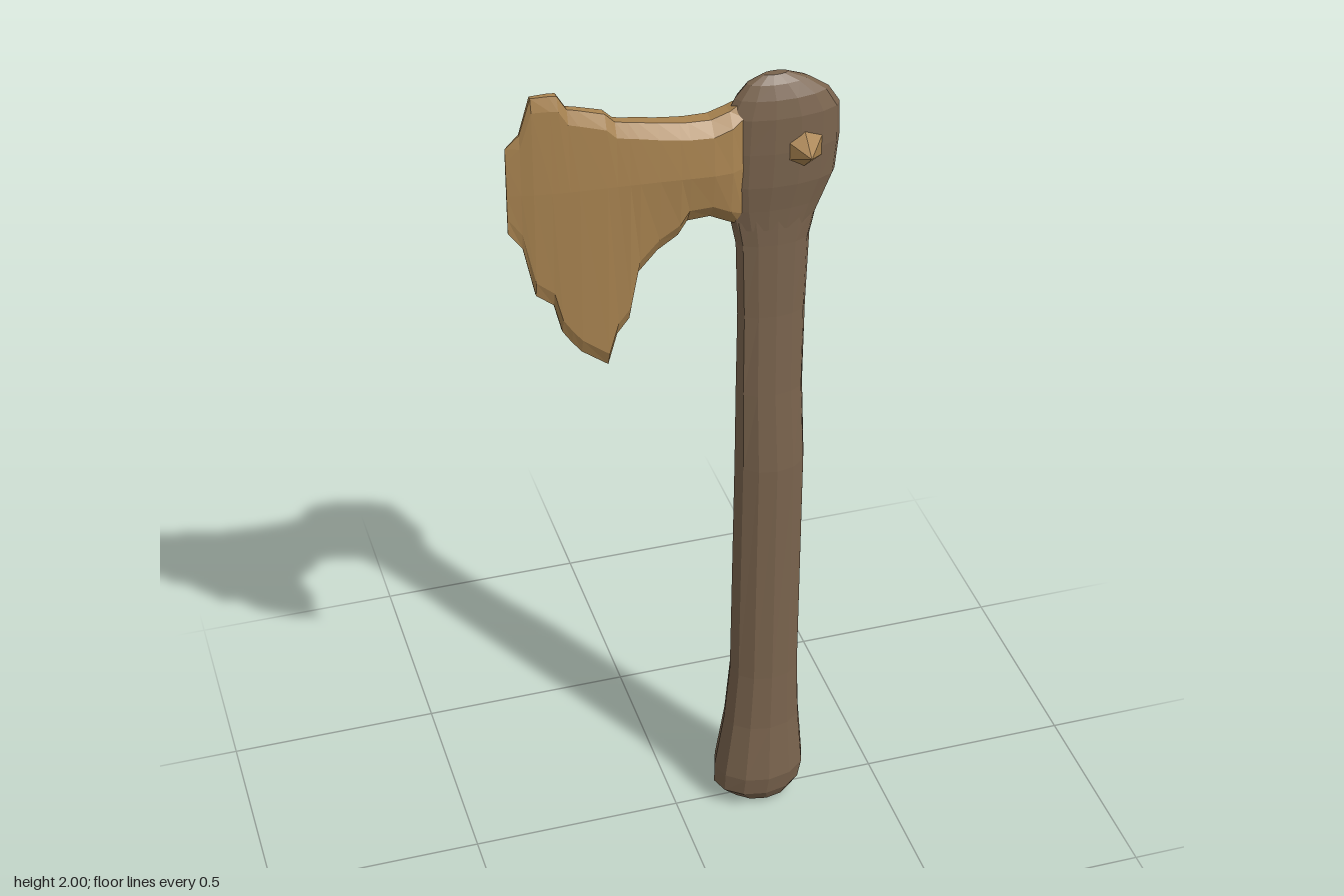
import * as THREE from 'three';
import { ConvexGeometry } from 'three/addons/geometries/ConvexGeometry.js';

const wood = new THREE.MeshStandardMaterial({ color: 0x79634d, flatShading: true });
const bronze = new THREE.MeshStandardMaterial({ color: 0xa88350, flatShading: true });

// Joins rings of equal point count into a closed skin with fan caps.
function loft(rings) {
  const n = rings[0].length, pos = rings.flat(2), idx = [];
  for (let r = 0; r < rings.length - 1; r++) {
    for (let i = 0; i < n; i++) {
      const a = r * n + i, b = r * n + (i + 1) % n;
      idx.push(a, a + n, b, b, a + n, b + n);
    }
  }
  const last = (rings.length - 1) * n;
  for (let i = 1; i < n - 1; i++) {
    idx.push(0, i, i + 1, last, last + i + 1, last + i);
  }
  const geo = new THREE.BufferGeometry();
  geo.setAttribute('position', new THREE.Float32BufferAttribute(pos, 3));
  geo.setIndex(idx);
  geo.computeVertexNormals();
  return geo;
}

function add(group, name, geometry, material) {
  const mesh = new THREE.Mesh(geometry, material);
  mesh.name = name;
  group.add(mesh);
  return mesh;
}

// Oval rings from [y, xMin, xMax, half depth].
function ovalLoft(sections, sides) {
  return loft(sections.map(([y, x0, x1, d]) => Array.from({ length: sides }, (_, i) => {
    const a = (i / sides) * Math.PI * 2;
    return [(x0 + x1) / 2 + Math.cos(a) * (x1 - x0) / 2, y, Math.sin(a) * d];
  })));
}

export function createModel() {
  const axe = new THREE.Group();
  axe.name = 'axe';

  // Shaft with a swollen foot, flattening towards the head
  add(axe, 'handle', ovalLoft([
    [0.0, 0.17, 0.25, 0.025], [0.015, 0.135, 0.29, 0.06], [0.05, 0.097, 0.312, 0.08],
    [0.1, 0.097, 0.32, 0.088], [0.25, 0.12, 0.307, 0.072], [0.4, 0.133, 0.301, 0.066],
    [1.0, 0.137, 0.301, 0.06], [1.2, 0.137, 0.292, 0.046], [1.4, 0.138, 0.293, 0.037],
    [1.58, 0.132, 0.298, 0.035], [1.66, 0.115, 0.315, 0.036],
  ], 12), wood);

  // Rounded eye of the axe head
  add(axe, 'head', ovalLoft([
    [1.62, 0.125, 0.303, 0.035], [1.67, 0.11, 0.325, 0.039], [1.73, 0.1, 0.35, 0.046],
    [1.81, 0.1, 0.358, 0.048], [1.89, 0.105, 0.356, 0.045], [1.93, 0.125, 0.33, 0.037],
    [1.96, 0.15, 0.285, 0.024], [1.977, 0.185, 0.24, 0.01],
  ], 14), wood);

  // Blade sections from cutting edge to eye: [x, top, bottom, half thickness]
  const blade = [
    [-0.365, 1.89, 1.69, 0.002], [-0.335, 1.918, 1.65, 0.008], [-0.31, 2.0, 1.53, 0.014],
    [-0.272, 2.0, 1.5, 0.019], [-0.255, 1.998, 1.43, 0.021], [-0.235, 1.965, 1.4, 0.023],
    [-0.214, 1.96, 1.373, 0.025], [-0.156, 1.943, 1.33, 0.029], [-0.135, 1.922, 1.405, 0.03],
    [-0.108, 1.917, 1.44, 0.032], [-0.087, 1.914, 1.553, 0.034], [-0.045, 1.906, 1.6, 0.037],
    [0, 1.9, 1.63, 0.041], [0.02, 1.898, 1.662, 0.043], [0.07, 1.897, 1.665, 0.047],
    [0.11, 1.91, 1.645, 0.045], [0.14, 1.925, 1.63, 0.03], [0.2, 1.93, 1.64, 0.015],
  ];
  add(axe, 'blade', loft(blade.map(([x, top, bottom, d]) => {
    const side = [[bottom, 0.25], [bottom + 0.035, 0.75], [1.78, 1], [top - 0.03, 0.85], [top, 0.35]];
    return [
      ...side.map(([y, k]) => [x, y, d * k]),
      ...side.reverse().map(([y, k]) => [x, y, -d * k]),
    ];
  })), bronze);

  // Short faceted spike on the front of the eye
  const spike = add(axe, 'frontSpike', new THREE.ConeGeometry(0.05, 0.058, 6), bronze);
  spike.rotation.x = Math.PI / 2;
  spike.position.set(0.266, 1.812, 0.062);

  // Broad faceted boss on the back of the eye
  const boss = [
    [0.235, 1.84, -0.092], [0.265, 1.8, -0.093], [0.285, 1.83, -0.09], [0.25, 1.77, -0.088],
    [0.335, 1.83, -0.06], [0.32, 1.75, -0.055], [0.155, 1.8, -0.062],
  ];
  for (let i = 0; i < 9; i++) {
    const a = (i / 9) * Math.PI * 2;
    boss.push([0.236 + Math.cos(a) * 0.118, 1.81 + Math.sin(a) * 0.12, -0.022]);
  }
  add(axe, 'backBoss', new ConvexGeometry(boss.map((p) => new THREE.Vector3(...p))), bronze);

  return axe;
}
